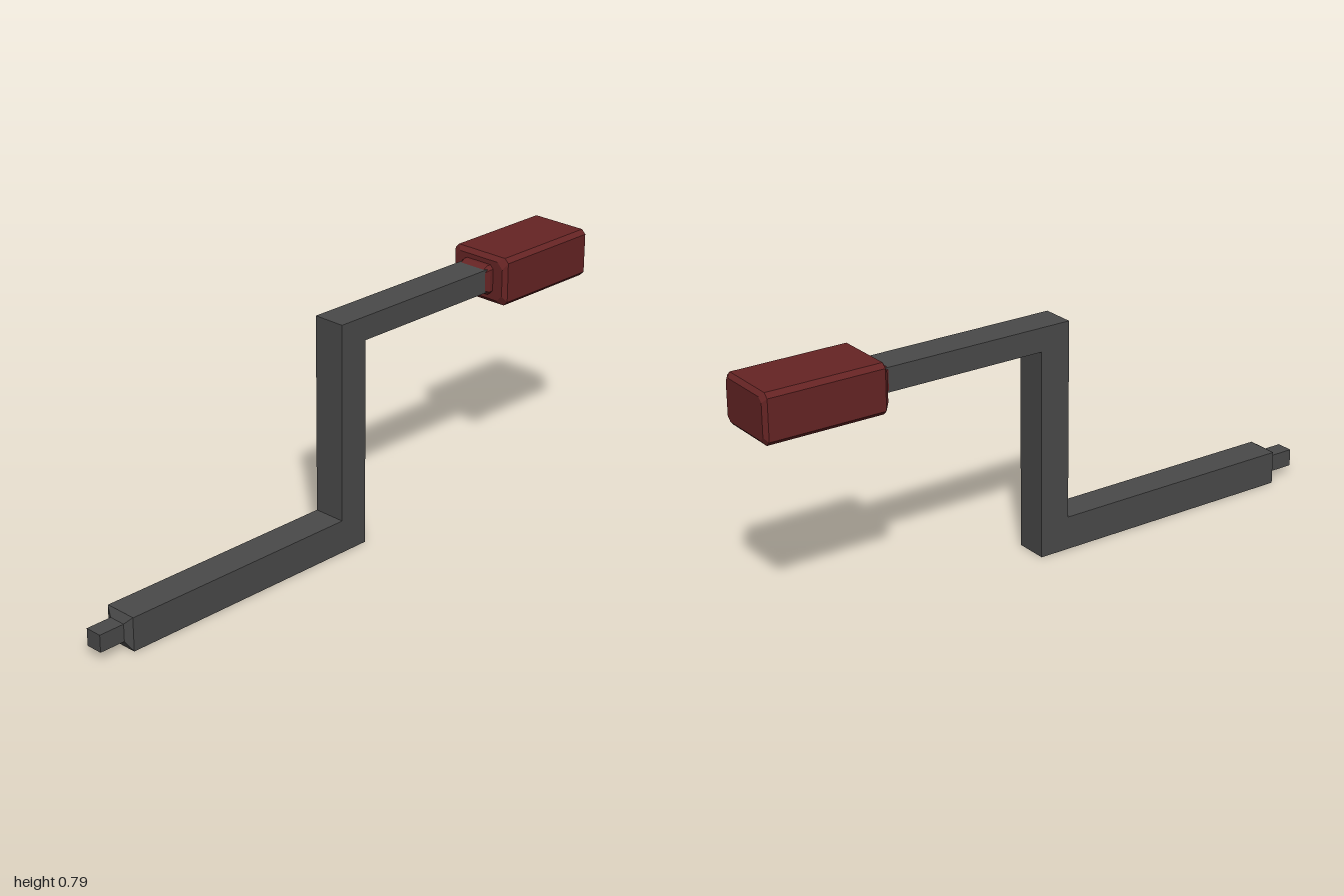
import * as THREE from 'three';

// Rectangle outline with optional cut corners, counter-clockwise in xy
function outline(hw, hh, c) {
  if (!c) return [[hw, -hh], [hw, hh], [-hw, hh], [-hw, -hh]];
  return [[hw, -hh + c], [hw, hh - c], [hw - c, hh], [-hw + c, hh],
    [-hw, hh - c], [-hw, -hh + c], [-hw + c, -hh], [hw - c, -hh]];
}

// Skin sections [z, halfWidth, halfHeight, cornerCut] from back to front, centred at height y
function loft(sections, y) {
  const rings = sections.map(([z, hw, hh, c]) => outline(hw, hh, c).map(([px, py]) => [px, y + py, z]));
  const n = rings[0].length, pos = [];
  const tri = (a, b, c) => pos.push(...a, ...b, ...c);
  for (let i = 0; i < rings.length - 1; i++) {
    for (let j = 0; j < n; j++) {
      const k = (j + 1) % n, a = rings[i], b = rings[i + 1];
      tri(a[j], a[k], b[k]);
      tri(a[j], b[k], b[j]);
    }
  }
  const back = rings[0], front = rings[rings.length - 1];
  for (let j = 1; j < n - 1; j++) {
    tri(back[0], back[j + 1], back[j]);
    tri(front[0], front[j], front[j + 1]);
  }
  const g = new THREE.BufferGeometry();
  g.setAttribute('position', new THREE.Float32BufferAttribute(pos, 3));
  g.computeVertexNormals();
  return g;
}

export function createModel() {
  const group = new THREE.Group();
  const steel = new THREE.MeshStandardMaterial({ color: 0x4a4a4a });
  steel.name = 'dark steel';
  const red = new THREE.MeshStandardMaterial({ color: 0x662424 });
  red.name = 'dark red grip';

  const add = (name, geometry, material) => {
    const mesh = new THREE.Mesh(geometry, material);
    mesh.name = name;
    group.add(mesh);
  };

  // Z-shaped crank bar: side profile (-z, y) extruded across x
  const profile = new THREE.Shape([
    [-0.9, 0], [0.035, 0], [0.035, 0.672], [0.6, 0.672],
    [0.6, 0.748], [-0.065, 0.748], [-0.065, 0.108], [-0.9, 0.108],
  ].map(([x, y]) => new THREE.Vector2(x, y)));
  const bar = new THREE.ExtrudeGeometry(profile, { depth: 0.108, bevelEnabled: false });
  bar.translate(0, 0, -0.054).rotateY(Math.PI / 2);
  add('crankBar', bar, steel);

  // Tapered shoulder and square drive tip
  add('driveTip', loft([
    [0.9, 0.054, 0.054], [0.913, 0.028, 0.028], [1, 0.028, 0.028],
  ], 0.055), steel);

  // Collar where the bar enters the grip
  add('gripCollar', loft([
    [-0.61, 0.06, 0.048, 0.012], [-0.585, 0.06, 0.048, 0.012], [-0.568, 0.054, 0.039, 0.008],
  ], 0.709), red);

  // Chamfered grip
  add('grip', loft([
    [-1, 0.097, 0.065, 0.014], [-0.988, 0.109, 0.078, 0.014],
    [-0.612, 0.109, 0.078, 0.014], [-0.598, 0.097, 0.064, 0.02],
  ], 0.708), red);

  return group;
}
